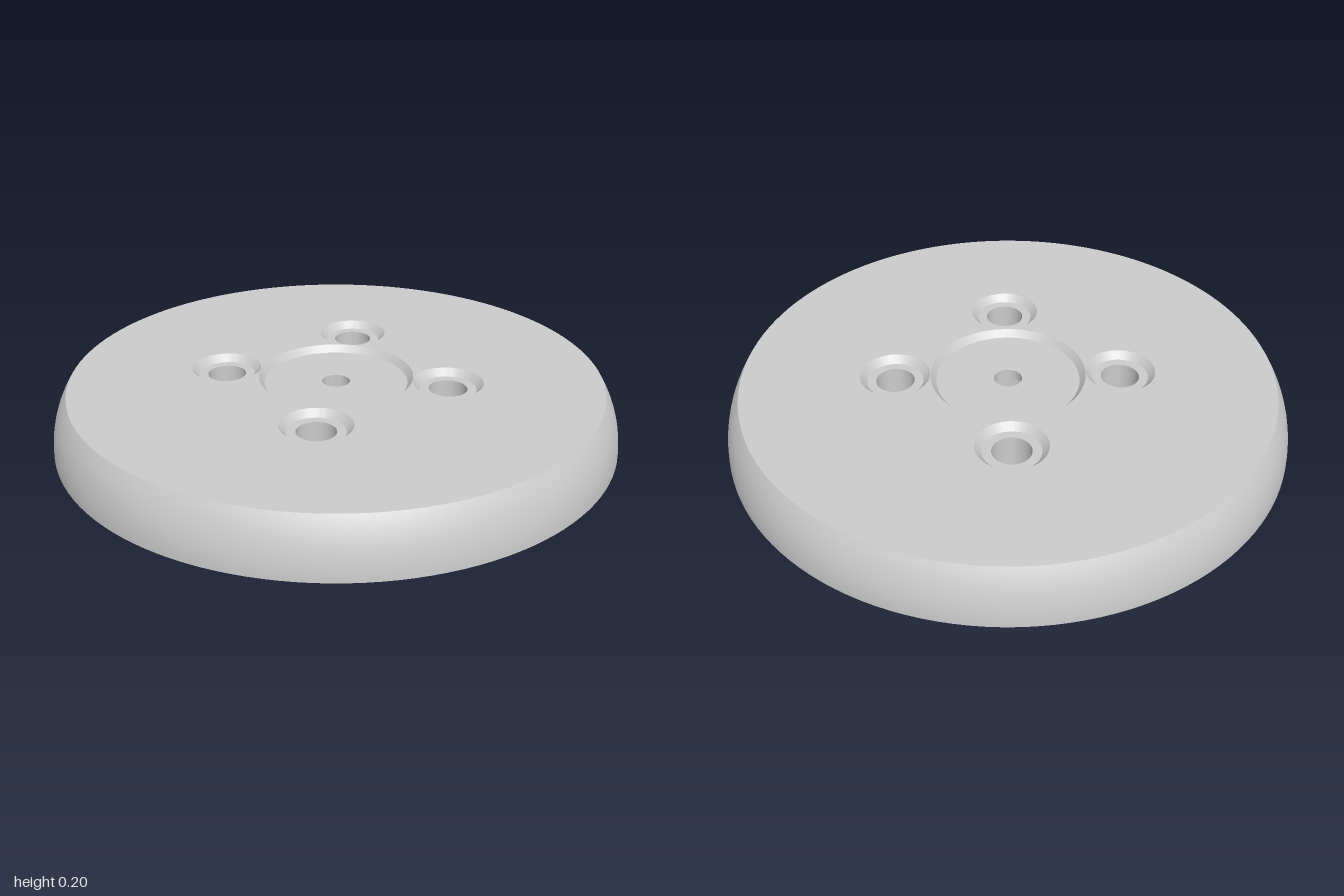
import * as THREE from 'three';
import { toCreasedNormals } from 'three/addons/utils/BufferGeometryUtils.js';

const SEGMENTS = 128;
const TOP = 0.195, UNDER = 0.15; // faces of the top plate
const RECESS = 0.275, SINK = 0.124, BOSS_AT = 0.4;
const ARC_CENTRE = 0.64, OUTER_ARC = 0.36, INNER_ARC = 0.315;

const material = new THREE.MeshStandardMaterial({ color: 0xcccccc });

function addMesh(parent, name, geometry) {
  const mesh = new THREE.Mesh(toCreasedNormals(geometry, 0.45), material);
  mesh.name = name;
  parent.add(mesh);
  return mesh;
}

// Closed profile, counter-clockwise in (radius, y)
function ring(points) {
  const profile = [...points, points[0]].map(([r, y]) => new THREE.Vector2(r, y));
  return new THREE.LatheGeometry(profile, SEGMENTS);
}

// Points of the curved side wall between two heights
function wallArc(radius, y0, y1, steps = 16) {
  return Array.from({ length: steps + 1 }, (_, i) => {
    const y = y0 + (y1 - y0) * i / steps;
    return [ARC_CENTRE + Math.sqrt(radius * radius - y * y), y];
  });
}

function circlePath(x, y, r) {
  return new THREE.Path().absarc(x, y, r, 0, Math.PI * 2, true);
}

// Upright rib cut from an outline in (radius, y)
function ribGeometry(points, thickness) {
  const shape = new THREE.Shape(points.map(([r, y]) => new THREE.Vector2(r, y)));
  const geometry = new THREE.ExtrudeGeometry(shape, { depth: thickness, bevelEnabled: false });
  return geometry.translate(0, 0, -thickness / 2);
}

export function createModel() {
  const model = new THREE.Group();
  model.name = 'roundCover';

  // Curved outer wall, open underneath
  addMesh(model, 'outerWall', ring([
    ...wallArc(OUTER_ARC, 0, TOP),
    [0.92, TOP],
    ...wallArc(INNER_ARC, UNDER, 0),
  ]));

  // Flat top plate with openings for the recess and the screw sinks
  const plate = new THREE.Shape().absarc(0, 0, 0.925, 0, Math.PI * 2, false);
  plate.holes.push(circlePath(0, 0, RECESS));
  for (let i = 0; i < 4; i++) {
    const a = i * Math.PI / 2;
    plate.holes.push(circlePath(BOSS_AT * Math.cos(a), BOSS_AT * Math.sin(a), SINK));
  }
  const plateGeometry = new THREE.ExtrudeGeometry(plate, {
    depth: TOP - UNDER, bevelEnabled: false, curveSegments: SEGMENTS / 2,
  });
  plateGeometry.rotateX(-Math.PI / 2).translate(0, UNDER, 0);
  addMesh(model, 'topPlate', plateGeometry);

  // Central recess with its hub and pin hole
  addMesh(model, 'centreHub', ring([
    [0.12, 0], [0.16, 0], [0.16, 0.12], [0.275, 0.12], [0.305, UNDER],
    [RECESS, UNDER], [RECESS, TOP], [0.255, 0.17], [0.05, 0.17], [0.05, 0.135], [0.12, 0.135],
  ]));

  // Four arms, each with a screw boss and rib
  const bossGeometry = ring([
    [0.068, 0.028], [0.098, 0.028], [0.098, 0.12], [0.13, 0.12], [0.155, UNDER],
    [SINK, UNDER], [SINK, TOP], [0.1, 0.17], [0.068, 0.17],
  ]);
  const innerRib = ribGeometry([[0.14, 0.033], [0.32, 0.033], [0.32, 0.14], [0.14, 0.14]], 0.05);
  // The outer end of the rib follows the inside of the wall
  const wallEnd = wallArc(INNER_ARC, 0.033, UNDER + 0.005, 8).map(([r, y]) => [r + 0.004, y]);
  const outerRib = ribGeometry([[0.48, 0.033], ...wallEnd, [0.48, UNDER + 0.005]], 0.05);
  for (let i = 0; i < 4; i++) {
    const arm = new THREE.Group();
    arm.name = 'supportArm' + (i + 1);
    arm.rotation.y = i * Math.PI / 2;
    addMesh(arm, 'screwBoss', bossGeometry).position.x = BOSS_AT;
    addMesh(arm, 'innerRib', innerRib);
    addMesh(arm, 'outerRib', outerRib);
    model.add(arm);
  }

  return model;
}
